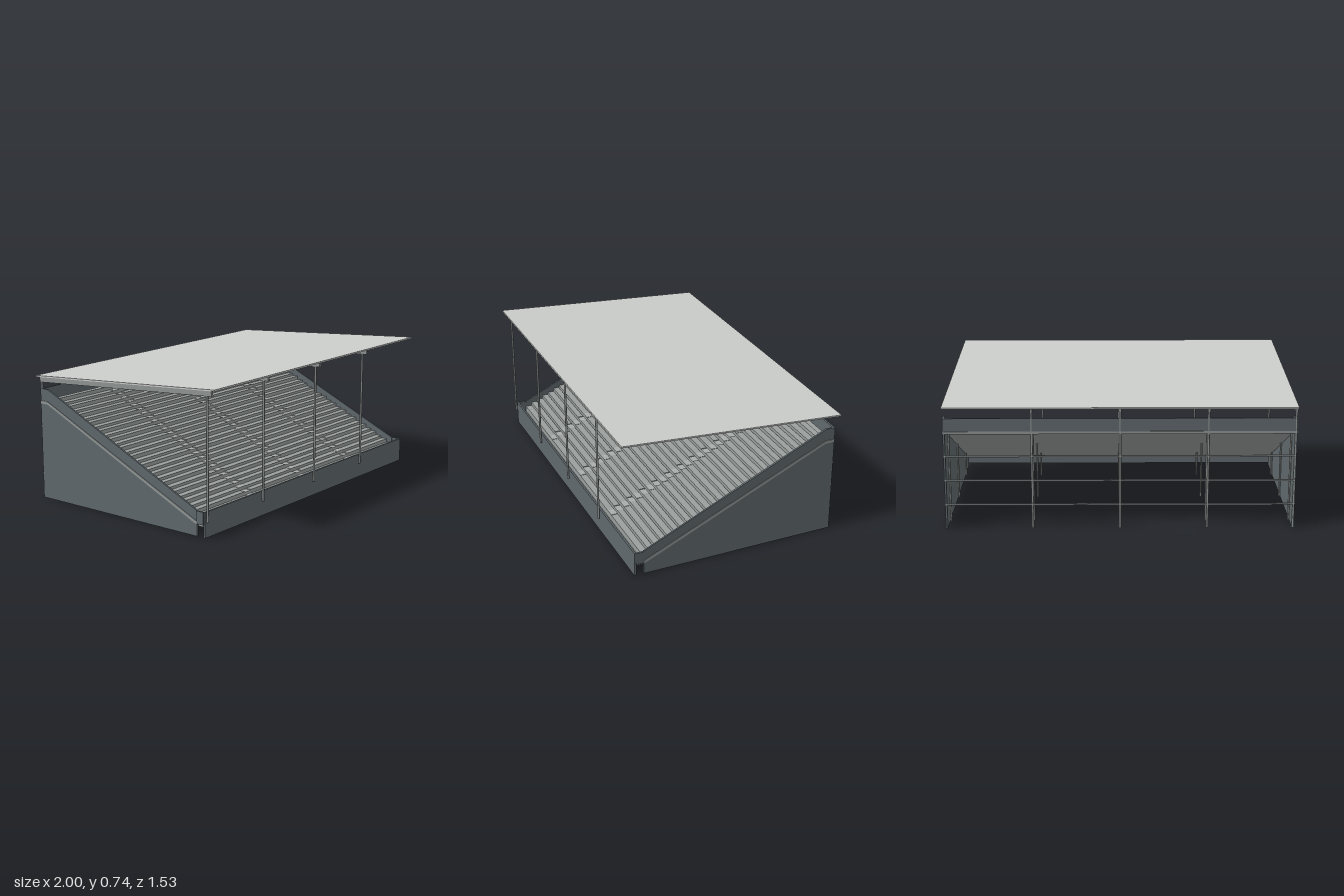
import * as THREE from 'three';

const mat = (name, color) => Object.assign(new THREE.MeshStandardMaterial({ color }), { name });

export function createModel() {
  const wall = mat('slate wall', 0x5f686c);
  const concrete = mat('concrete', 0x9a9f9d);
  const aisle = mat('aisle concrete', 0xa9aeac);
  const steel = mat('steel', 0x8f9493);
  const roofing = mat('roof sheet', 0xcbcdcb);

  const model = new THREE.Group();
  model.name = 'grandstand';
  const stand = new THREE.Group();
  stand.name = 'stand';
  stand.rotation.y = 0.1985;
  model.add(stand);

  const add = (name, geo, material, x = 0, y = 0, z = 0) => {
    const m = new THREE.Mesh(geo, material);
    m.name = name;
    m.position.set(x, y, z);
    stand.add(m);
    return m;
  };
  // Box given by its extents
  const box = (name, material, x0, x1, y0, y1, z0, z1) =>
    add(name, new THREE.BoxGeometry(x1 - x0, y1 - y0, z1 - z0), material,
      (x0 + x1) / 2, (y0 + y1) / 2, (z0 + z1) / 2);
  // Side profile of [z, y] points swept across x
  const sweep = (name, material, points, width, x = 0) => {
    const shape = new THREE.Shape(points.map(p => new THREE.Vector2(...p)));
    const geo = new THREE.ExtrudeGeometry(shape, { depth: width, bevelEnabled: false });
    geo.translate(0, 0, -width / 2).rotateY(-Math.PI / 2);
    return add(name, geo, material, x);
  };
  const post = (name, x, z, y0, y1, r = 0.005) =>
    add(name, new THREE.CylinderGeometry(r, r, y1 - y0, 8), steel, x, (y0 + y1) / 2, z);

  const W = 0.9, front = 0.487, crest = -0.513, back = -0.565;
  const rows = 14, run = (front - crest) / rows, rise = 0.455 / rows;
  const slabY = z => 0.05 + 0.455 * (front - z);

  // Stepped terrace with a smooth sloping underside
  const terrace = [[0.53, 0.05], [0.53, 0.065], [front, 0.065]];
  for (let i = 0; i < rows; i++) {
    const y = 0.065 + rise * (i + 1);
    terrace.push([front - i * run, y], [front - (i + 1) * run, y]);
  }
  terrace.push([back + 0.01, 0.52], [back + 0.01, 0.505], [crest, 0.505], [front, 0.05]);
  sweep('terrace', concrete, terrace, 2 * W - 0.02);

  // Benches in four blocks, with half steps in the three aisles between them
  const aisles = [-0.45, 0, 0.45], half = 0.025;
  for (let i = 0; i < rows; i++) {
    const y = 0.065 + rise * (i + 1), z = front - (i + 1) * run;
    for (let b = 0; b < 4; b++) {
      const x0 = b === 0 ? -W + 0.01 : aisles[b - 1] + half;
      const x1 = b === 3 ? W - 0.01 : aisles[b] - half;
      box('bench', concrete, x0, x1, y, y + 0.02, z + 0.004, z + 0.036);
    }
    for (const a of aisles) {
      box('aisleHalfStep', aisle, a - half, a + half, y, y + rise / 2, z, z + run / 2);
      box('aisleTread', aisle, a - half, a + half, y, y + 0.002, z + run / 2, z + run);
    }
  }

  // Side walls with a pale band marking the terrace edge
  for (const s of [-1, 1]) {
    sweep('sideWall', wall,
      [[front, 0], [front, 0.13], [crest, 0.59], [back, 0.59], [back, 0]], 0.01, s * (W - 0.005));
    sweep('sideBand', steel,
      [[front, 0.06], [front, 0.077], [crest, 0.525], [back, 0.525], [back, 0.51], [crest, 0.51]],
      0.004, s * (W + 0.001));
    box('frontReturn', wall, s * W - 0.005, s * W + 0.005, 0.065, 0.13, front, 0.53);
  }

  // Front and back parapets
  box('frontWall', wall, -W, W, 0, 0.13, 0.528, 0.538);
  box('backParapet', wall, -W, W, 0.52, 0.59, back, back + 0.01);
  box('backBand', steel, -W, W, 0.508, 0.522, back - 0.002, back + 0.01);

  // Open back frame: rails and columns under the terrace
  for (const y of [0.13, 0.26, 0.39])
    box('backRail', steel, -W, W, y - 0.004, y + 0.004, back - 0.002, back + 0.006);
  for (const x of [-0.885, ...aisles, 0.885])
    for (const z of [-0.45, -0.075, 0.3])
      post('column', x, z, 0, slabY(z) + 0.005);

  // Roof supports: front mast, rear mast and sloping beam
  const roofY = z => 0.696 + 0.0687 * z;
  const tilt = -Math.atan(0.0687);
  for (const x of [-0.893, ...aisles]) {
    post('frontMast', x, 0.548, 0.08, roofY(0.548) - 0.02, 0.006);
    post('rearMast', x, -0.56, 0, roofY(-0.56) - 0.02, 0.006);
    const beam = add('roofBeam', new THREE.BoxGeometry(0.014, 0.026, 1.15), steel, x, roofY(0) - 0.02, 0.005);
    beam.rotation.x = tilt;
  }

  // Sloping roof
  const roof = add('roof', new THREE.BoxGeometry(2 * W, 0.008, 1.196), roofing, 0, roofY(0) - 0.004, 0);
  roof.rotation.x = tilt;

  return model;
}
